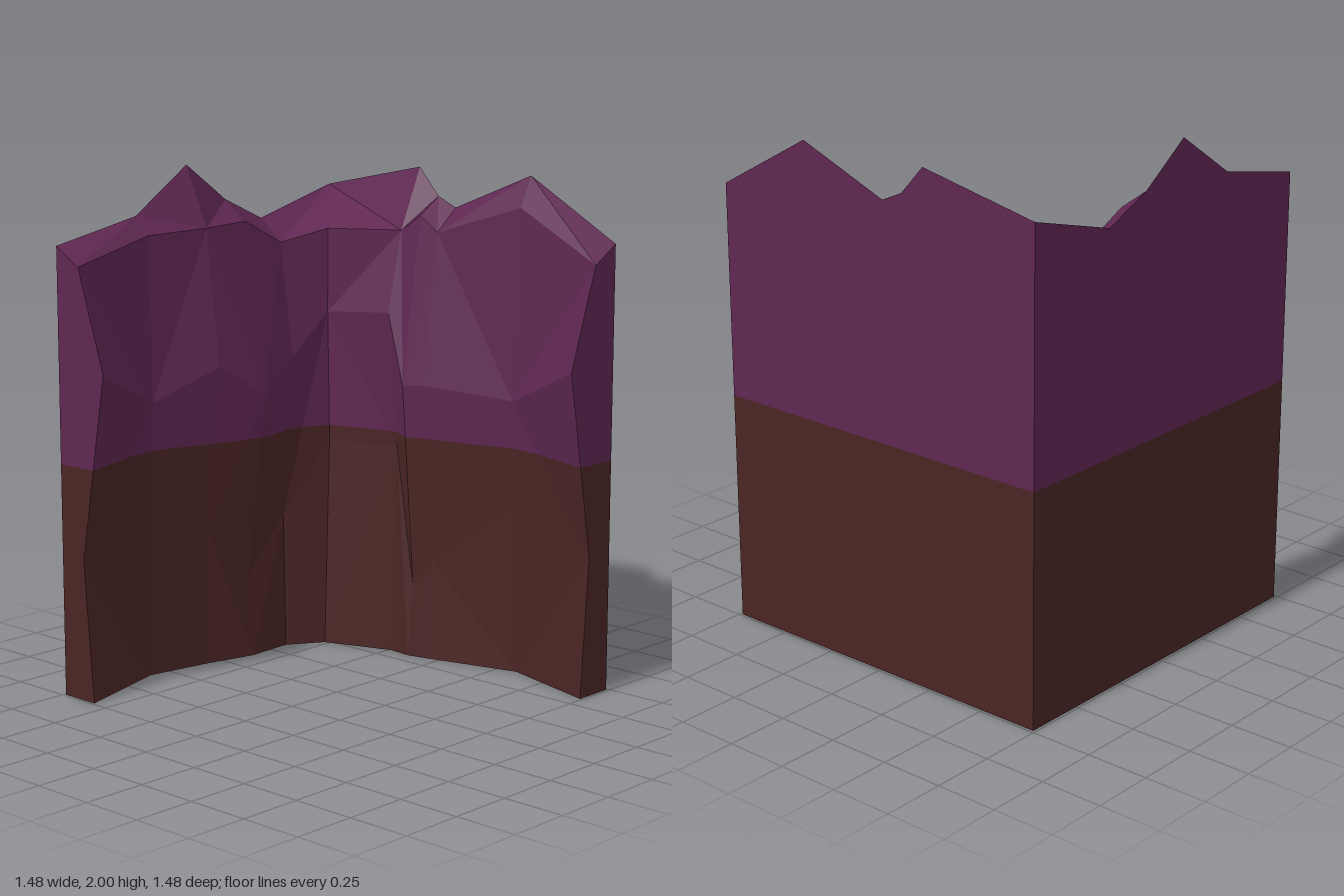
import * as THREE from 'three';

const WALL = -0.74;    // plane of the two straight outer walls
const SPLIT = 0.91;    // height where the colour changes

// Stations along each wing: [position, bottom depth, lower [y, depth], bulge [y, depth], inner rim [y, depth], outer rim y]
const sideWing = [
  [0.74, 0.165, [0.55, 0.12], [1.28, 0.25], [1.67, 0.12], 1.74],
  [0.34, 0.045, [0.33, 0.055], [1.1, 0.08], [1.75, 0.07], 1.82],
  [0.07, 0.09, [0.55, 0.1], [1.22, 0.175], [1.76, 0.11], 2.0],
  [-0.14, 0.14, [0.34, 0.12], [1.09, 0.22], [1.77, 0.11], 1.85],
  [-0.34, 0.13, [0.55, 0.12], [1.21, 0.175], [1.67, 0.11], 1.76],
];
const backWing = [
  [-0.24, 0.16, [0.85, 0.13], [1.4, 0.185], [1.725, 0.11], 1.97],
  [-0.14, 0.17, [0.29, 0.14], [1.12, 0.21], [1.79, 0.11], 1.86],
  [-0.05, 0.15, [0.4, 0.125], [1.13, 0.19], [1.73, 0.11], 1.82],
  [0.33, 0.05, [0.68, 0.06], [1.1, 0.095], [1.85, 0.06], 1.97],
  [0.74, 0.165, [0.55, 0.125], [1.28, 0.255], [1.67, 0.12], 1.74],
];

// Cross-section loop: up the inner rock face, over the rim, down the outer wall
function ring([p, bottom, low, mid, rim, top], place) {
  return [
    place(p, 0, bottom), place(p, low[0], low[1]), place(p, mid[0], mid[1]),
    place(p, rim[0], rim[1]), place(p, top, 0), place(p, 0, 0),
  ];
}

// Keep the part of a polygon above (sign 1) or below (sign -1) the colour line
function clip(poly, sign) {
  const out = [];
  poly.forEach((a, i) => {
    const b = poly[(i + 1) % poly.length];
    const da = (a.y - SPLIT) * sign, db = (b.y - SPLIT) * sign;
    if (da >= 0) out.push(a);
    if (da * db < 0) out.push(a.clone().lerp(b, da / (da - db)));
  });
  return out;
}

// Flat-shaded mesh from the clipped triangles
function rockMesh(triangles, sign, color, materialName, name) {
  const points = [];
  for (const t of triangles) {
    const p = clip(t, sign);
    for (let i = 1; i < p.length - 1; i++) points.push(p[0], p[i], p[i + 1]);
  }
  const geometry = new THREE.BufferGeometry().setFromPoints(points);
  geometry.computeVertexNormals();
  const material = new THREE.MeshStandardMaterial({ color });
  material.name = materialName;
  const mesh = new THREE.Mesh(geometry, material);
  mesh.name = name;
  return mesh;
}

export function createModel() {
  const v = (x, y, z) => new THREE.Vector3(x, y, z);
  const corner = [
    v(-0.52, 0, -0.48), v(-0.54, 0.85, -0.53), v(-0.54, 1.38, -0.52),
    v(-0.53, 1.72, -0.51), v(WALL, 1.87, WALL), v(WALL, 0, WALL),
  ];
  const rings = [
    ...sideWing.map((s) => ring(s, (p, y, d) => v(WALL + d, y, p))),
    corner,
    ...backWing.map((s) => ring(s, (p, y, d) => v(p, y, WALL + d))),
  ];

  // Skin between neighbouring cross-sections
  const triangles = [];
  for (let i = 0; i < rings.length - 1; i++) {
    for (let k = 0; k < 6; k++) {
      const n = (k + 1) % 6;
      const a = rings[i][k], b = rings[i + 1][k], c = rings[i + 1][n], d = rings[i][n];
      if ((i + k) % 2) triangles.push([a, b, c], [a, c, d]);
      else triangles.push([a, b, d], [b, c, d]);
    }
  }

  // End faces of both wings
  const first = rings[0], last = rings[rings.length - 1];
  for (let k = 0; k < 4; k++) {
    triangles.push([first[5], first[k], first[k + 1]]);
    triangles.push([last[5], last[k + 1], last[k]]);
  }

  const group = new THREE.Group();
  group.name = 'cliffCorner';
  group.add(
    rockMesh(triangles, 1, 0x5f2752, 'purple rock', 'upperCliff'),
    rockMesh(triangles, -1, 0x4a2524, 'brown rock', 'lowerCliff'),
  );
  return group;
}
